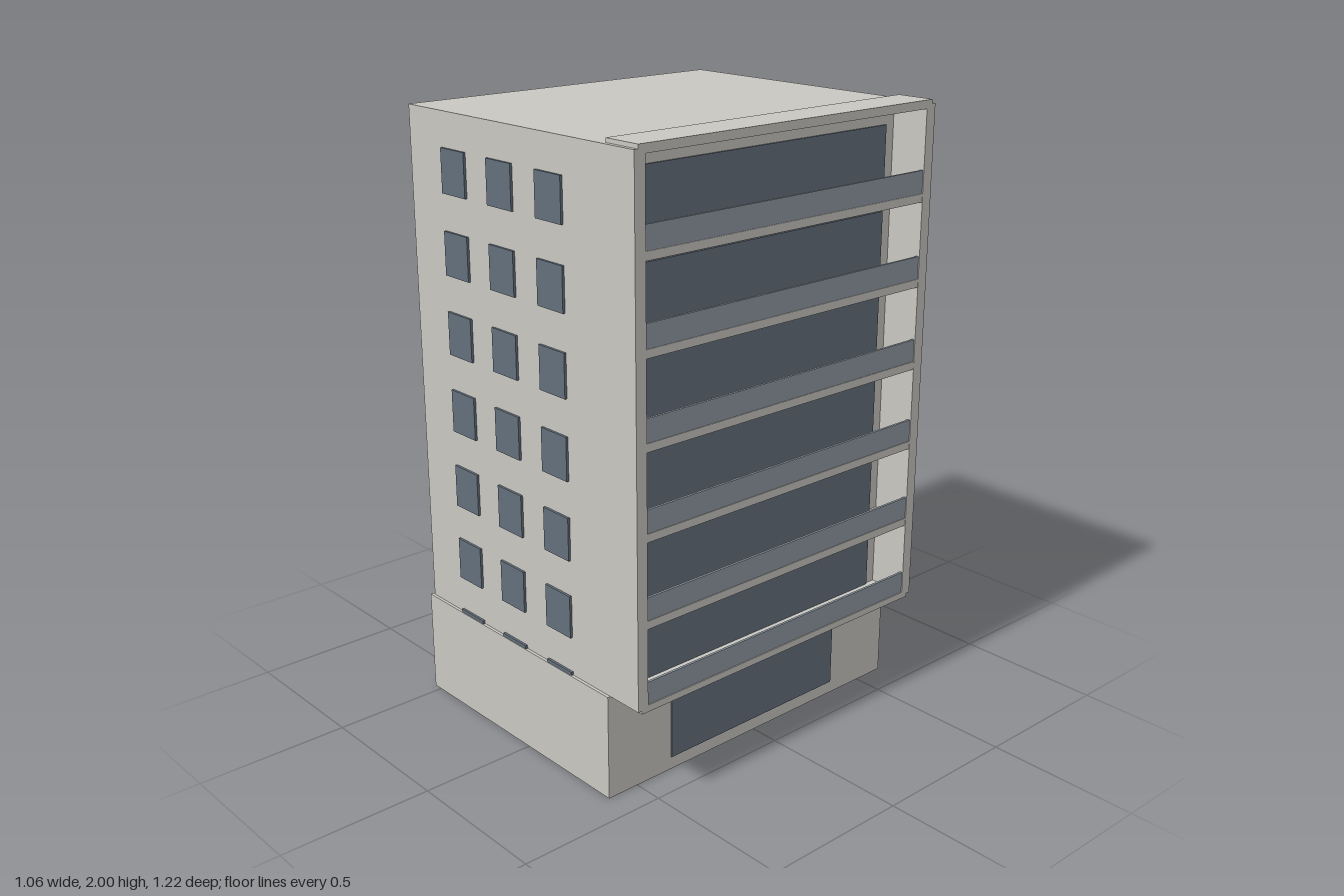
import * as THREE from 'three';

export function createModel() {
  const model = new THREE.Group();
  model.name = 'apartmentBlock';

  const material = (name, color) => {
    const m = new THREE.MeshStandardMaterial({ color });
    m.name = name;
    return m;
  };
  const concrete = material('concrete', 0xc9c7c2);
  const glass = material('windowGlass', 0x64707c);
  const railing = material('balconyGlass', 0x8f9aa3);

  // Box given by its lower and upper limits on each axis
  const box = (name, mat, [x0, x1], [y0, y1], [z0, z1], parent = model) => {
    const mesh = new THREE.Mesh(new THREE.BoxGeometry(x1 - x0, y1 - y0, z1 - z0), mat);
    mesh.position.set((x0 + x1) / 2, (y0 + y1) / 2, (z0 + z1) / 2);
    mesh.name = name;
    parent.add(mesh);
    return mesh;
  };
  const group = (name) => {
    const g = new THREE.Group();
    g.name = name;
    model.add(g);
    return g;
  };

  // Ground floor and tower
  box('groundFloor', concrete, [-0.533, 0.402], [0, 0.346], [-0.612, 0.612]);
  box('tower', concrete, [-0.523, 0.4], [0.346, 1.987], [-0.602, 0.602]);
  box('entranceWindow', glass, [0.4, 0.406], [0.043, 0.281], [-0.361, 0.361]);

  // Balcony frame: side walls, raised roof strip and underside
  const frame = group('balconyFrame');
  for (const s of [-1, 1]) {
    const z = [s * 0.564, s * 0.602].sort((a, b) => a - b);
    box('balconySideWall', concrete, [0.4, 0.53], [0.346, 1.987], z, frame);
  }
  box('balconyRoof', concrete, [0.397, 0.53], [1.973, 2], [-0.588, 0.588], frame);
  box('balconyUnderside', concrete, [0.4, 0.53], [0.335, 0.357], [-0.588, 0.588], frame);

  // Six balconies: floor slab, long window and glass railing
  const balconies = group('balconies');
  for (let i = 0; i < 6; i++) {
    const floor = 0.357 + i * 0.2711;
    if (i > 0) box('balconyFloor', concrete, [0.4, 0.529], [floor - 0.026, floor], [-0.564, 0.564], balconies);
    box('balconyWindow', glass, [0.4, 0.406], [floor, floor + 0.202], [-0.525, 0.525], balconies);
    box('balconyRailing', railing, [0.519, 0.527], [floor, floor + 0.073], [-0.564, 0.564], balconies);
  }

  // Small windows on the front and the back; the lowest row sits behind the base
  const windows = group('sideWindows');
  for (const s of [-1, 1]) {
    const z = [s * 0.601, s * 0.61].sort((a, b) => a - b);
    for (let row = 0; row < 7; row++) {
      const y = 0.288 + row * 0.2535;
      for (const x of [-0.292, -0.063, 0.167]) {
        box('sideWindow', glass, [x - 0.059, x + 0.059], [y - 0.069, y + 0.069], z, windows);
      }
    }
  }

  return model;
}
